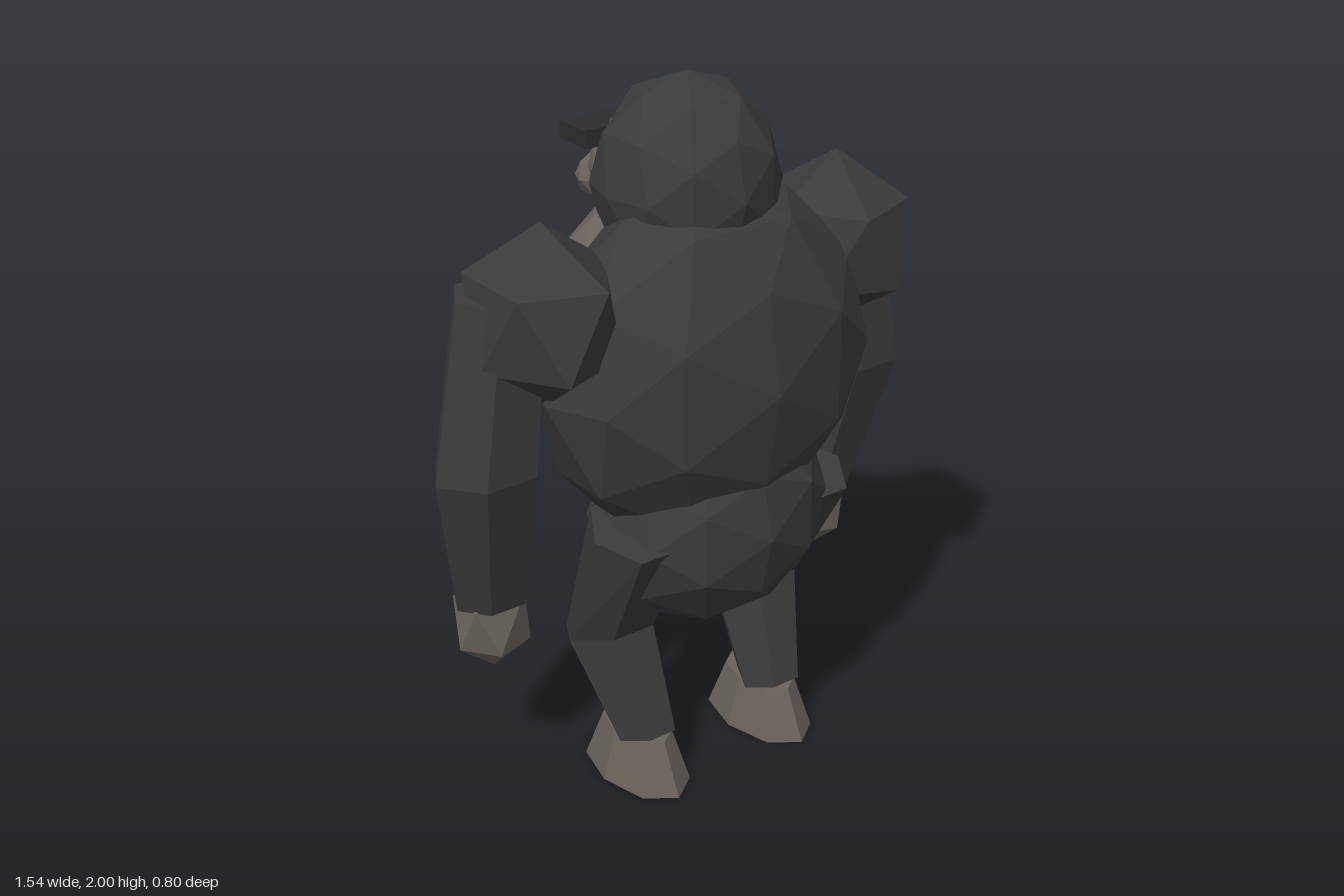
import * as THREE from 'three';

export function createModel() {
  const model = new THREE.Group();
  model.name = 'ape';

  const mat = (name, color) => {
    const m = new THREE.MeshStandardMaterial({ color });
    m.name = name;
    return m;
  };
  const fur = mat('dark fur', 0x3b3b3b);
  const skin = mat('bare skin', 0x69625b);
  const nose = mat('nose and brow', 0x2d2d2d);
  const black = mat('eye black', 0x111111);

  // Adds a mesh with faceted normals
  const add = (name, geometry, material, parent = model) => {
    const g = geometry.index ? geometry.toNonIndexed() : geometry;
    g.computeVertexNormals();
    const mesh = new THREE.Mesh(g, material);
    mesh.name = name;
    parent.add(mesh);
    return mesh;
  };

  // Faceted ellipsoid
  const blob = (c, r, detail = 1) =>
    new THREE.IcosahedronGeometry(1, detail).scale(...r).translate(...c);

  // Icosahedron standing on a corner, with a ring corner towards the body
  const gem = (c, r, side) =>
    new THREE.IcosahedronGeometry(1, 0)
      .rotateZ(-Math.atan(2 / (1 + Math.sqrt(5))))
      .rotateY(side > 0 ? Math.PI : 0)
      .scale(...r).translate(...c);

  // Six-sided bent limb through three rings: [x, y, z, radius, tilt]
  const limb = (rings, side) => {
    const g = new THREE.CylinderGeometry(1, 1, 1, 6, 2).rotateY(Math.PI / 6);
    const p = g.attributes.position;
    for (let i = 0; i < p.count; i++) {
      const [x, y, z, r, tilt] = rings[Math.round((0.5 - p.getY(i)) * 2)];
      const px = p.getX(i) * r, pz = p.getZ(i) * r;
      p.setXYZ(i, x * side + px, y + pz * tilt, z + pz);
    }
    return g;
  };

  // Body
  add('torso', blob([0, 1.23, 0.08], [0.51, 0.51, 0.32]), fur);
  add('hips', blob([0, 0.8, 0.1], [0.36, 0.33, 0.28]), fur);
  add('chest', blob([0, 1.28, -0.1], [0.43, 0.41, 0.225]), skin);

  // Head
  const head = new THREE.Group();
  head.name = 'head';
  model.add(head);
  add('skull', blob([0, 1.71, 0], [0.255, 0.29, 0.25]), fur, head);
  add('face', blob([0, 1.71, -0.2], [0.16, 0.15, 0.1]), skin, head);
  add('muzzle', blob([0, 1.65, -0.305], [0.13, 0.08, 0.095]), skin, head);
  add('nose', blob([0, 1.725, -0.35], [0.08, 0.037, 0.045], 0), nose, head);
  add('brow', new THREE.BoxGeometry(0.35, 0.05, 0.12).translate(0, 1.795, -0.265), nose, head);

  // Paired parts
  for (const side of [1, -1]) {
    const label = side > 0 ? 'left' : 'right';
    add(label + 'Eye', blob([0.07 * side, 1.75, -0.29], [0.025, 0.022, 0.02], 0), black, head);

    const arm = new THREE.Group();
    arm.name = label + 'ArmGroup';
    model.add(arm);
    add(label + 'Shoulder', gem([0.48 * side, 1.46, 0.04], [0.215, 0.25, 0.245], side), fur, arm);
    add(label + 'Arm', limb([
      [0.56, 1.52, -0.03, 0.13, 0],
      [0.62, 1.03, -0.04, 0.15, 0.1],
      [0.575, 0.59, -0.125, 0.105, 0.1],
    ], side), fur, arm);
    add(label + 'Hand', gem([0.57 * side, 0.53, -0.13], [0.118, 0.155, 0.112], side), skin, arm);

    const leg = new THREE.Group();
    leg.name = label + 'LegGroup';
    model.add(leg);
    add(label + 'Leg', limb([
      [0.285, 0.84, 0.16, 0.135, -0.28],
      [0.255, 0.44, -0.02, 0.135, 0.28],
      [0.225, 0.145, 0.11, 0.09, 0.3],
    ], side), fur, leg);
    add(label + 'Foot', new THREE.CylinderGeometry(0.66, 1, 0.15, 8)
      .scale(0.117, 1, 0.2).translate(0.225 * side, 0.075, 0.065), skin, leg);
  }

  return model;
}
